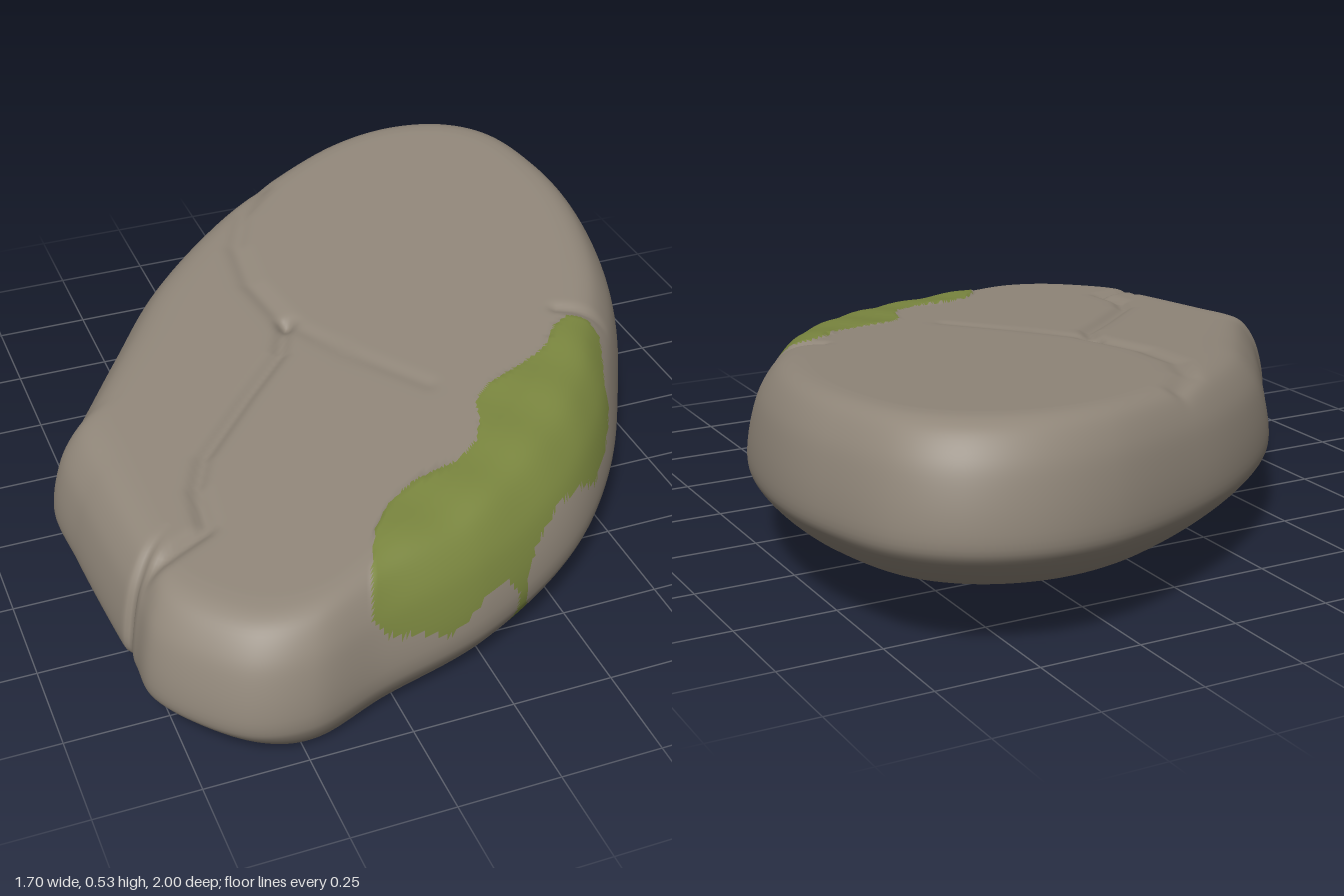
import * as THREE from 'three';

const SEGS = 460, BOTTOM_ROWS = 12, SIDE_ROWS = 40, TOP_ROWS = 48;
const v2 = (a) => a.map(([x, y]) => new THREE.Vector2(x, y));
const gauss = (d, w) => Math.exp(-(d * d) / (w * w));
const { smoothstep, lerp, clamp } = THREE.MathUtils;

// Slab outline (x, z), anticlockwise seen from above
const outline = [[0.5, -1], [0.3, -0.98], [0, -0.845], [-0.23, -0.69], [-0.45, -0.48], [-0.62, -0.24],
  [-0.79, 0.02], [-0.845, 0.1], [-0.84, 0.3], [-0.815, 0.6], [-0.805, 0.68], [-0.8, 0.78], [-0.73, 0.89],
  [-0.62, 0.98], [-0.49, 1], [-0.3, 0.94], [0, 0.86], [0.3, 0.69], [0.5, 0.48], [0.65, 0.23],
  [0.78, -0.05], [0.845, -0.38], [0.835, -0.62], [0.77, -0.84], [0.66, -0.95]];

// Edge profile (inset, share of the thickness), bottom to top
const profile = [[0.2, 0], [0.12, 0.04], [0.07, 0.11], [0.02, 0.22], [0, 0.32], [0.005, 0.5],
  [0.025, 0.7], [0.05, 0.83], [0.085, 0.935], [0.125, 0.985], [0.17, 1]];

// Cracks on the top face: path (x, z), width and depth
const cracks = [
  { w: 0.02, d: 0.016, path: [[-0.85, 0.66], [-0.7, 0.625], [-0.59, 0.575], [-0.57, 0.43], [-0.52, 0.33],
    [-0.35, 0.15], [-0.22, 0.02], [-0.16, -0.1]] },
  { w: 0.028, d: 0.011, path: [[-0.16, -0.1], [-0.19, -0.3], [-0.17, -0.48], [-0.1, -0.63], [0, -0.74]] },
  { w: 0.025, d: 0.005, path: [[-0.16, -0.1], [-0.06, 0.08], [0.08, 0.28]] },
  { w: 0.018, d: 0.01, path: [[0.51, 0.12], [0.58, 0.15], [0.64, 0.17]] },
];

// Moss limits, from above (x, z) and from the front (x, y)
const mossPlan = [[-0.33, 1.2], [-0.32, 0.93], [-0.29, 0.84], [-0.24, 0.73], [-0.18, 0.66], [-0.1, 0.61],
  [0.03, 0.58], [0.1, 0.53], [0.14, 0.46], [0.16, 0.39], [0.22, 0.34], [0.33, 0.3], [0.41, 0.26],
  [0.47, 0.19], [0.52, 0.16], [0.57, 0.18], [0.6, 0.24], [0.6, 0.3], [0.9, 0.5], [0.9, 1.2]];
const mossFront = [[-0.33, 0.7], [-0.32, 0.28], [-0.27, 0.22], [-0.2, 0.2], [-0.12, 0.16], [-0.06, 0.18],
  [0, 0.22], [0.05, 0.22], [0.09, 0.17], [0.09, 0.11], [0.07, 0.06], [0.1, 0.04], [0.15, 0.06],
  [0.12, 0.12], [0.12, 0.19], [0.16, 0.25], [0.25, 0.29], [0.33, 0.28], [0.4, 0.24], [0.47, 0.26],
  [0.53, 0.31], [0.54, 0.36], [0.62, 0.43], [0.64, 0.7]];

function inside(x, y, poly) {
  let hit = false;
  for (let i = 0, j = poly.length - 1; i < poly.length; j = i++) {
    const [ax, ay] = poly[i], [bx, by] = poly[j];
    if ((ay > y) !== (by > y) && x < ((bx - ax) * (y - ay)) / (by - ay) + ax) hit = !hit;
  }
  return hit;
}

function pathDistance(x, z, path) {
  let best = Infinity;
  for (let i = 1; i < path.length; i++) {
    const [ax, az] = path[i - 1], dx = path[i][0] - ax, dz = path[i][1] - az;
    const t = clamp(((x - ax) * dx + (z - az) * dz) / (dx * dx + dz * dz), 0, 1);
    best = Math.min(best, Math.hypot(x - ax - t * dx, z - az - t * dz));
  }
  return best;
}

// Tilted flat top and slightly rounded underside
const topY = (x, z) => 0.44 + 0.053 * x - 0.07 * z;
const bottomY = (x, z) => 0.06 + 0.03 * x - 0.06 * z + 0.03 * x * x;
const isMoss = (x, y, z) => z > 0 && y > bottomY(x, z) + 0.012
  && inside(x, z, mossPlan) && inside(x, y, mossFront);

function createSlab() {
  const rim = new THREE.CatmullRomCurve3(outline.map(([x, z]) => new THREE.Vector3(x, 0, z)), true, 'centripetal')
    .getSpacedPoints(SEGS);
  const edge = new THREE.SplineCurve(v2(profile)).getPoints(SIDE_ROWS);

  // Rows run from the underside centre, up the edge, to the top centre
  const rows = [];
  for (let i = 0; i < BOTTOM_ROWS; i++) rows.push({ s: i / BOTTOM_ROWS, p: edge[0] });
  edge.forEach((p) => rows.push({ s: 1, p }));
  for (let i = TOP_ROWS - 1; i >= 0; i--) rows.push({ s: i / TOP_ROWS, p: edge[SIDE_ROWS] });

  const positions = [];
  for (const { s, p } of rows) {
    for (let j = 0; j < SEGS; j++) {
      const { x: rx, z: rz } = rim[j], r = Math.hypot(rx, rz);
      // Tighter lower bevel at the front, wider upper bevel under the moss
      const mossSide = gauss(Math.hypot(rx - 0.2, rz - 0.74), 0.4);
      const front = smoothstep(rz, -0.6, 0.8) * smoothstep(rx, -0.85, -0.5);
      let inset = p.x * (p.y < 0.32 ? 1 - 0.5 * front : 1 + 0.4 * mossSide);
      // Notch where the crack reaches the rim
      if (rx < -0.6 && s === 1) inset += 0.02 * gauss(rz - 0.645, 0.016) * Math.min(1, p.y * 2);
      const k = s * (1 - inset / r), x = rx * k, z = rz * k;
      let y = lerp(bottomY(x, z), topY(x, z), p.y);
      const onTop = smoothstep(p.y, 0.75, 0.98);
      if (onTop > 0) {
        for (const c of cracks) y -= onTop * c.d * gauss(pathDistance(x, z, c.path), c.w);
        if (inside(x, z, mossPlan)) y += onTop * (0.004 + 0.004 * Math.sin(x * 23) * Math.sin(z * 19));
      }
      positions.push(x, Math.max(0, y), z);
    }
  }

  // Sort the faces into stone and moss
  const stone = [], moss = [], all = [];
  const addFace = (...f) => {
    const [x, y, z] = [0, 1, 2].map((a) => f.reduce((sum, i) => sum + positions[i * 3 + a], 0) / 3);
    (isMoss(x, y, z) ? moss : stone).push(...f);
    all.push(...f);
  };
  for (let i = 0; i < rows.length - 1; i++) {
    for (let j = 0; j < SEGS; j++) {
      const n = (j + 1) % SEGS;
      const a = i * SEGS + j, b = i * SEGS + n, c = b + SEGS, d = a + SEGS;
      if (rows[i].s > 0) addFace(a, b, c);
      if (rows[i + 1].s > 0) addFace(a, c, d);
    }
  }

  // Shared smooth normals, so no seam shows between the colours
  const base = new THREE.BufferGeometry();
  base.setAttribute('position', new THREE.Float32BufferAttribute(positions, 3));
  base.setIndex(all);
  base.computeVertexNormals();
  return [stone, moss].map((index) => {
    const g = new THREE.BufferGeometry();
    g.setAttribute('position', base.attributes.position);
    g.setAttribute('normal', base.attributes.normal);
    g.setIndex(index);
    return g;
  });
}

export function createModel() {
  const stoneGrey = new THREE.MeshStandardMaterial({ color: 0x91877a });
  stoneGrey.name = 'stoneGrey';
  const mossGreen = new THREE.MeshStandardMaterial({ color: 0x7a863f });
  mossGreen.name = 'mossGreen';

  const [stoneGeometry, mossGeometry] = createSlab();
  const slab = new THREE.Mesh(stoneGeometry, stoneGrey);
  slab.name = 'stoneSlab';
  const patch = new THREE.Mesh(mossGeometry, mossGreen);
  patch.name = 'mossPatch';

  const model = new THREE.Group();
  model.name = 'mossySteppingStone';
  model.add(slab, patch);
  return model;
}
